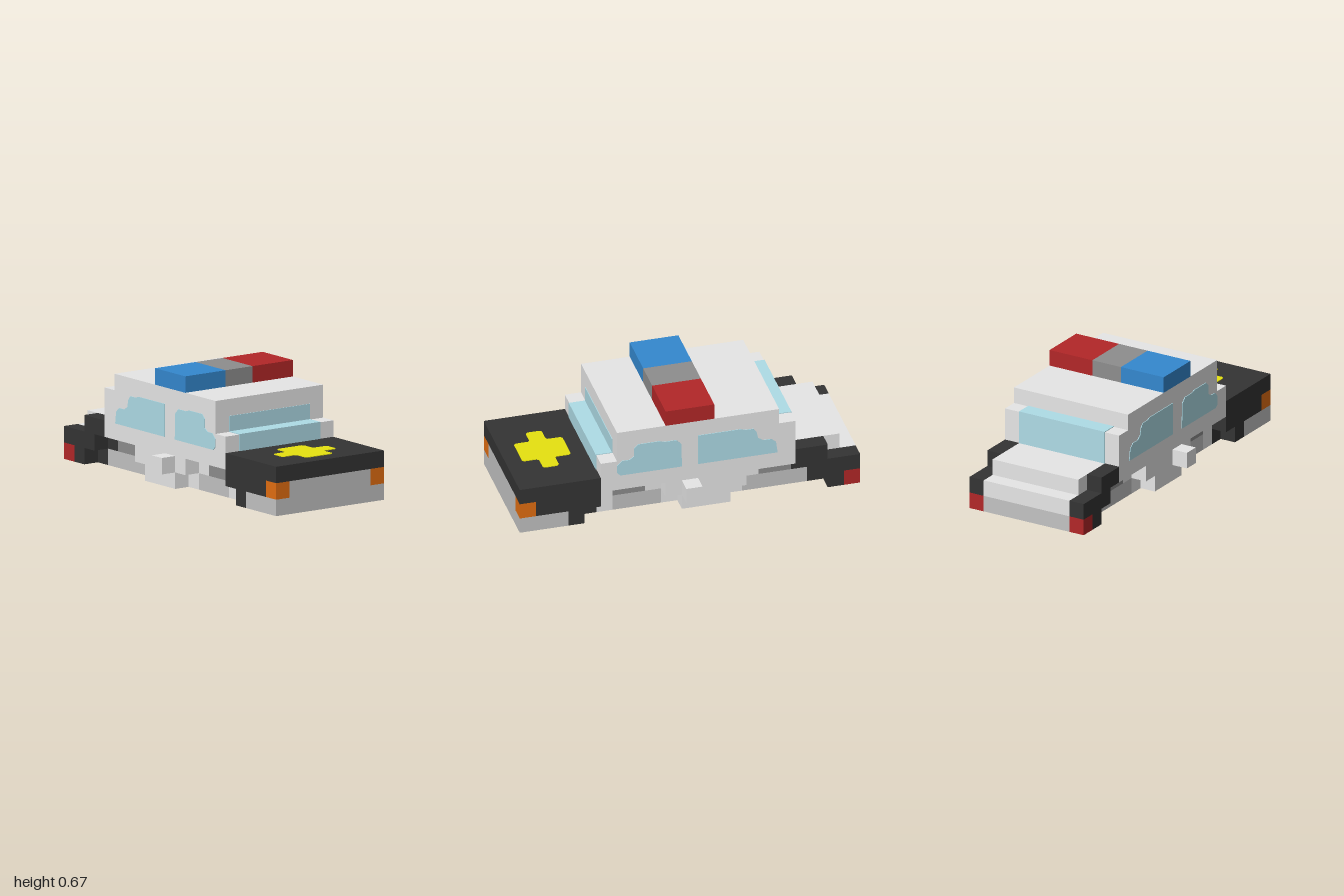
import * as THREE from 'three';

const U = 2 / 21; // one block: the car is 21 long, 8 wide, 7 high
const T = 0.04;   // thickness of painted plates, in blocks

const mat = (name, color) => {
  const m = new THREE.MeshStandardMaterial({ color });
  m.name = name;
  return m;
};

export function createModel() {
  const car = new THREE.Group();
  car.name = 'patrolCar';

  const white = mat('white', 0xefefef);
  const black = mat('black', 0x343434);
  const grey = mat('lightGrey', 0xc3c3c3);
  const darkGrey = mat('darkGrey', 0x8e8e8e);
  const blue = mat('blue', 0x3488cf);
  const red = mat('red', 0xb32728);
  const orange = mat('orange', 0xe26e11);
  const glass = mat('glass', 0xb4e3ee);
  const yellow = mat('yellow', 0xefea11);

  const add = (name, geo, material) => {
    geo.scale(U, U, U);
    const mesh = new THREE.Mesh(geo, material);
    mesh.name = name;
    car.add(mesh);
  };

  // Box in blocks; k counts blocks back from the front bumper
  const box = (name, m, x0, x1, y0, y1, k0, k1) => {
    const g = new THREE.BoxGeometry(x1 - x0, y1 - y0, k1 - k0);
    g.translate((x0 + x1) / 2, (y0 + y1) / 2, 10.5 - (k0 + k1) / 2);
    add(name, g, m);
  };
  // The same box on both sides
  const pair = (name, m, x0, x1, y0, y1, k0, k1) => {
    box(name + 'Left', m, x0, x1, y0, y1, k0, k1);
    box(name + 'Right', m, -x1, -x0, y0, y1, k0, k1);
  };

  const extrude = (points, depth) => new THREE.ExtrudeGeometry(
    new THREE.Shape(points.map(([a, b]) => new THREE.Vector2(a, b))),
    { depth, bevelEnabled: false });
  // Side profile in (z, y), extruded from x0 to x1
  const sideProfile = (name, m, points, x0, x1) =>
    add(name, extrude(points, x1 - x0).rotateY(-Math.PI / 2).translate(x1, 0, 0), m);

  // Underbody with coloured rails showing inside the wheel arches
  box('floor', grey, -2, 2, 0, 1, 0, 21);
  [[grey, 0, 4], [black, 4, 5], [white, 5, 6], [grey, 6, 9], [white, 9, 14],
    [grey, 14, 18], [black, 18, 20], [grey, 20, 21]]
    .forEach(([m, a, b], i) => pair('rail' + i, m, 2, 3, 0, 1, a, b));

  // Middle layer between the wheels
  [[grey, 0, 1], [black, 1, 5], [white, 5, 6], [darkGrey, 6, 8], [white, 8, 15],
    [darkGrey, 15, 17], [black, 17, 18], [white, 18, 21]]
    .forEach(([m, a, b], i) => box('chassis' + i, m, -3, 3, 1, 2, a, b));

  // Bumper corners, sills and lights
  pair('frontBumperCorner', grey, 3, 4, 0, 1, 0, 3);
  pair('frontSkirt', black, 3, 4, 0, 1, 3, 4);
  pair('sillLower', white, 3, 4, 0, 1, 10, 13);
  pair('sillUpper', white, 3, 4, 1, 2, 9, 14);
  pair('rearSkirt', black, 3, 4, 0, 1, 19, 20);
  pair('tailLight', red, 3, 4, 0, 1, 20, 21);
  pair('indicator', orange, 3, 4, 1, 2, 0, 1);

  // Fenders, hood and trunk
  pair('frontFender', black, 3, 4, 1, 2, 1, 5);
  pair('rearFenderLower', black, 3, 4, 1, 2, 18, 21);
  pair('rearFenderUpper', black, 3, 4, 2, 3, 17, 19);
  box('hood', black, -4, 4, 2, 3, 0, 5);
  box('trunk', white, -3, 3, 2, 3, 17, 20);

  // Stepped cabin
  sideProfile('cabin', white, [
    [5.5, 2], [5.5, 4], [4.5, 4], [4.5, 6], [-5.5, 6], [-5.5, 5], [-6.5, 5], [-6.5, 2],
  ], -4, 4);

  // Windscreen follows the front step
  box('windscreenLower', glass, -3, 3, 3, 4, 5 - T, 5);
  box('windscreenLedge', glass, -3, 3, 4, 4 + T, 5 - T, 6);
  box('windscreenUpper', glass, -3, 3, 4, 4.97, 6 - T, 6);

  // Rear window and its ledge
  box('rearWindow', glass, -3, 3, 3, 5, 17, 17 + T);
  box('rearWindowLedge', glass, -3, 3, 5, 5 + T, 16, 17 + T);

  // Side windows
  const frontWindow = [
    [4.3, 3], [4.5, 3.2], [4.5, 3.7], [4.2, 4], [3.75, 4], [3.45, 4.2], [3.45, 4.75],
    [3.2, 5], [1.9, 5], [1.6, 4.9], [0.85, 4.9], [0.55, 4.6], [0.5, 3],
  ];
  const rearWindow = [
    [-0.5, 3], [-0.5, 5], [-3.1, 5], [-3.4, 4.9], [-3.9, 4.9], [-4.1, 4.65],
    [-4.2, 4.2], [-4.5, 4], [-5, 4], [-5.3, 3.75], [-5.4, 3],
  ];
  for (const [side, x0] of [['Left', 4], ['Right', -4 - T]]) {
    sideProfile('frontSideWindow' + side, glass, frontWindow, x0, x0 + T);
    sideProfile('rearSideWindow' + side, glass, rearWindow, x0, x0 + T);
  }

  // Mirrors
  pair('mirror', white, 4, 5, 1, 2, 10, 11);

  // Roof light bar
  box('lightBarBlue', blue, -4, -1, 6, 7, 9, 12);
  box('lightBarCentre', darkGrey, -1, 1, 6, 7, 9, 12);
  box('lightBarRed', red, 1, 4, 6, 7, 9, 12);

  // Yellow cross on the hood, in (x, z)
  const c = 0.12;
  const quarter = [[2, 0.5 - c], [2 - c, 0.5], [1 + c, 0.5], [1, 0.5 + c], [1, 1.5 - c], [1 - c, 1.5]];
  const flip = (pts, sx, sz) => pts.map(([x, z]) => [x * sx, z * sz]);
  const back = [...quarter].reverse();
  const cross = [...quarter, ...flip(back, -1, 1), ...flip(quarter, -1, -1), ...flip(back, 1, -1)];
  add('hoodCross', extrude(cross, T).rotateX(Math.PI / 2).translate(0, 3 + T, 8), yellow);

  return car;
}
